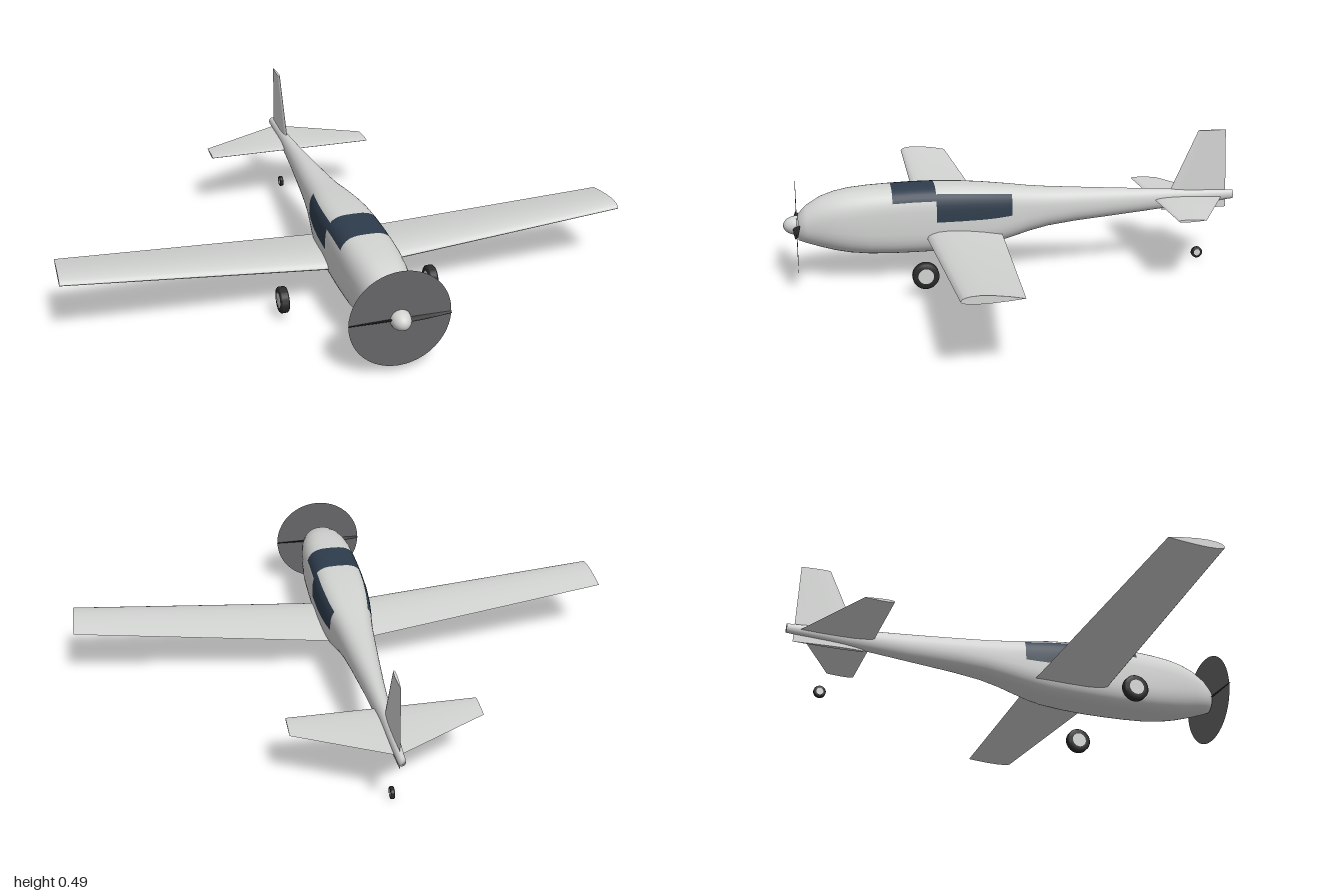
import * as THREE from 'three';
import { toCreasedNormals } from 'three/addons/utils/BufferGeometryUtils.js';

const mat = (name, color, extra = {}) => Object.assign(new THREE.MeshStandardMaterial({ color, ...extra }), { name });

function makeMesh(name, geometry, material) {
  const mesh = new THREE.Mesh(geometry, material);
  mesh.name = name;
  return mesh;
}

function buildGeometry(positions, index) {
  const g = new THREE.BufferGeometry();
  g.setAttribute('position', new THREE.Float32BufferAttribute(positions, 3));
  g.setIndex(index);
  return g;
}

// Fuselage stations: z, top y, bottom y, half width, squareness of the section
const STATIONS = [
  [0.78, 0.2, 0.2, 0, 2], [0.78, 0.24, 0.145, 0.042, 2], [0.75, 0.271, 0.134, 0.058, 2.1],
  [0.7, 0.3, 0.119, 0.076, 2.3], [0.65, 0.316, 0.106, 0.087, 2.5], [0.6, 0.325, 0.097, 0.094, 2.7],
  [0.53, 0.33, 0.091, 0.099, 3], [0.45, 0.333, 0.089, 0.1, 3.2], [0.37, 0.335, 0.089, 0.1, 3.3],
  [0.295, 0.335, 0.09, 0.1, 3.3], [0.2, 0.331, 0.095, 0.098, 3.3], [0.12, 0.325, 0.102, 0.092, 3.2],
  [0.07, 0.32, 0.111, 0.086, 3.1], [0.02, 0.315, 0.124, 0.078, 3], [-0.05, 0.307, 0.143, 0.068, 2.7],
  [-0.12, 0.301, 0.158, 0.061, 2.5], [-0.22, 0.295, 0.17, 0.052, 2.3], [-0.4, 0.284, 0.185, 0.036, 2.1],
  [-0.6, 0.272, 0.204, 0.022, 2], [-0.83, 0.259, 0.226, 0.013, 2], [-0.83, 0.243, 0.243, 0, 2],
];

// Lofted fuselage; cabin faces go into a second group for the glass
function fuselageGeometry() {
  const N = 40, positions = [], body = [], glass = [];
  for (const [z, top, bottom, w, n] of STATIONS) {
    for (let j = 0; j < N; j++) {
      const t = (j / N) * Math.PI * 2;
      const power = (v) => Math.abs(v) < 1e-9 ? 0 : Math.sign(v) * Math.abs(v) ** (2 / n);
      positions.push(w * power(Math.cos(t)), (top + bottom) / 2 + (top - bottom) / 2 * power(Math.sin(t)), z);
    }
  }
  for (let i = 0; i < STATIONS.length - 1; i++) {
    const z = (STATIONS[i][0] + STATIONS[i + 1][0]) / 2;
    for (let j = 0; j < N; j++) {
      const angle = (j + 0.5) * 360 / N;
      const height = angle > 90 && angle < 270 ? 180 - angle : angle;
      const windscreen = z > 0.295 && z < 0.45 && height > 27 && height < 91;
      const sideWindow = z > 0.02 && z < 0.295 && height > 0 && height < 45;
      const a = i * N + j, b = i * N + (j + 1) % N, c = b + N, d = a + N;
      (windscreen || sideWindow ? glass : body).push(a, d, c, a, c, b);
    }
  }
  const g = buildGeometry(positions, [...body, ...glass]);
  g.addGroup(0, body.length, 0);
  g.addGroup(body.length, glass.length, 1);
  g.computeVertexNormals();
  return g;
}

// Aerofoil lofted along x. Section: x, y, leading z, trailing z, thickness
function foilGeometry(sections, upper = 0.5) {
  const steps = [0, 0.02, 0.07, 0.15, 0.3, 0.5, 0.75, 1];
  const half = (f) => f === 0 || f === 1 ? 0
    : 10 * (0.2969 * Math.sqrt(f) - 0.126 * f - 0.3516 * f * f + 0.2843 * f ** 3 - 0.1036 * f ** 4);
  const loop = [
    ...steps.map((f) => [f, upper * half(f)]),
    ...steps.slice(1, -1).reverse().map((f) => [f, (upper - 1) * half(f)]),
  ];
  const P = loop.length, positions = [], index = [];
  for (const [x, y, lead, trail, thick] of sections)
    for (const [f, h] of loop) positions.push(x, y + h * thick, lead + (trail - lead) * f);
  for (let s = 0; s < sections.length - 1; s++) {
    for (let j = 0; j < P; j++) {
      const a = s * P + j, d = s * P + (j + 1) % P, b = a + P, c = d + P;
      index.push(a, b, c, a, c, d);
    }
  }
  const last = (sections.length - 1) * P;
  for (let j = 1; j < P - 1; j++) {
    index.push(0, j, j + 1);
    index.push(last, last + j + 1, last + j);
  }
  return toCreasedNormals(buildGeometry(positions, index), 0.9);
}

function wheel(name, r, width, x, y, z, tyreMat, hubMat) {
  const group = new THREE.Group();
  group.name = name;
  const w = width / 2;
  const profile = [[0.58, -w], [0.9, -w], [1, -w * 0.65], [1, w * 0.65], [0.9, w], [0.58, w]]
    .map(([k, h]) => new THREE.Vector2(k * r, h));
  const tyre = toCreasedNormals(new THREE.LatheGeometry(profile, 28), 0.9).rotateZ(Math.PI / 2);
  const hub = new THREE.CylinderGeometry(r * 0.6, r * 0.6, width * 0.94, 24).rotateZ(Math.PI / 2);
  group.add(makeMesh('tyre', tyre, tyreMat), makeMesh('hub', hub, hubMat));
  group.position.set(x, y, z);
  return group;
}

export function createModel() {
  const paint = mat('light grey paint', 0xd2d4d2);
  const glass = mat('dark blue glass', 0x2e3c4c);
  const discGrey = mat('propeller disc grey', 0x666668, { side: THREE.DoubleSide });
  const black = mat('black rubber', 0x2a2a2b);

  const model = new THREE.Group();
  model.name = 'airplane';
  model.add(makeMesh('fuselage', fuselageGeometry(), [paint, glass]));

  // Wings with dihedral and tapered trailing edge
  model.add(makeMesh('wing', foilGeometry([
    [-1, 0.233, 0.33, 0.14, 0.026], [0, 0.145, 0.33, 0.05, 0.042], [1, 0.233, 0.33, 0.14, 0.026],
  ], 0.65), paint));

  // Tail surfaces
  model.add(makeMesh('tailplane', foilGeometry([
    [-0.32, 0.238, -0.525, -0.625, 0.009], [0, 0.238, -0.525, -0.79, 0.016], [0.32, 0.238, -0.525, -0.625, 0.009],
  ]), paint));
  const fin = foilGeometry([[0.195, 0, -0.555, -0.805, 0.016], [0.49, 0, -0.69, -0.795, 0.009]]);
  model.add(makeMesh('fin', fin.rotateZ(Math.PI / 2), paint));

  // Propeller: spinner, disc and two blades
  const propeller = new THREE.Group();
  propeller.name = 'propeller';
  propeller.position.set(0, 0.2, 0.785);
  const spinner = new THREE.SphereGeometry(0.034, 24, 16).scale(1, 1, 1.4);
  propeller.add(makeMesh('spinner', spinner, paint));
  propeller.add(makeMesh('propellerDisc', new THREE.CircleGeometry(0.17, 48), discGrey));
  const blade = foilGeometry([
    [0.01, 0, 0.016, -0.016, 0.008], [0.09, 0, 0.013, -0.013, 0.006], [0.17, 0, 0.006, -0.006, 0.003],
  ]).rotateX(0.6);
  for (const side of [0, 1]) {
    const b = makeMesh(side ? 'rightBlade' : 'leftBlade', blade, black);
    b.rotation.z = side * Math.PI;
    propeller.add(b);
  }
  model.add(propeller);

  // Wheels
  for (const side of [1, -1])
    model.add(wheel(side > 0 ? 'leftWheel' : 'rightWheel', 0.046, 0.03, side * 0.268, 0.075, 0.355, black, paint));
  model.add(wheel('tailWheel', 0.021, 0.014, 0, 0.021, -0.7, black, paint));

  return model;
}
